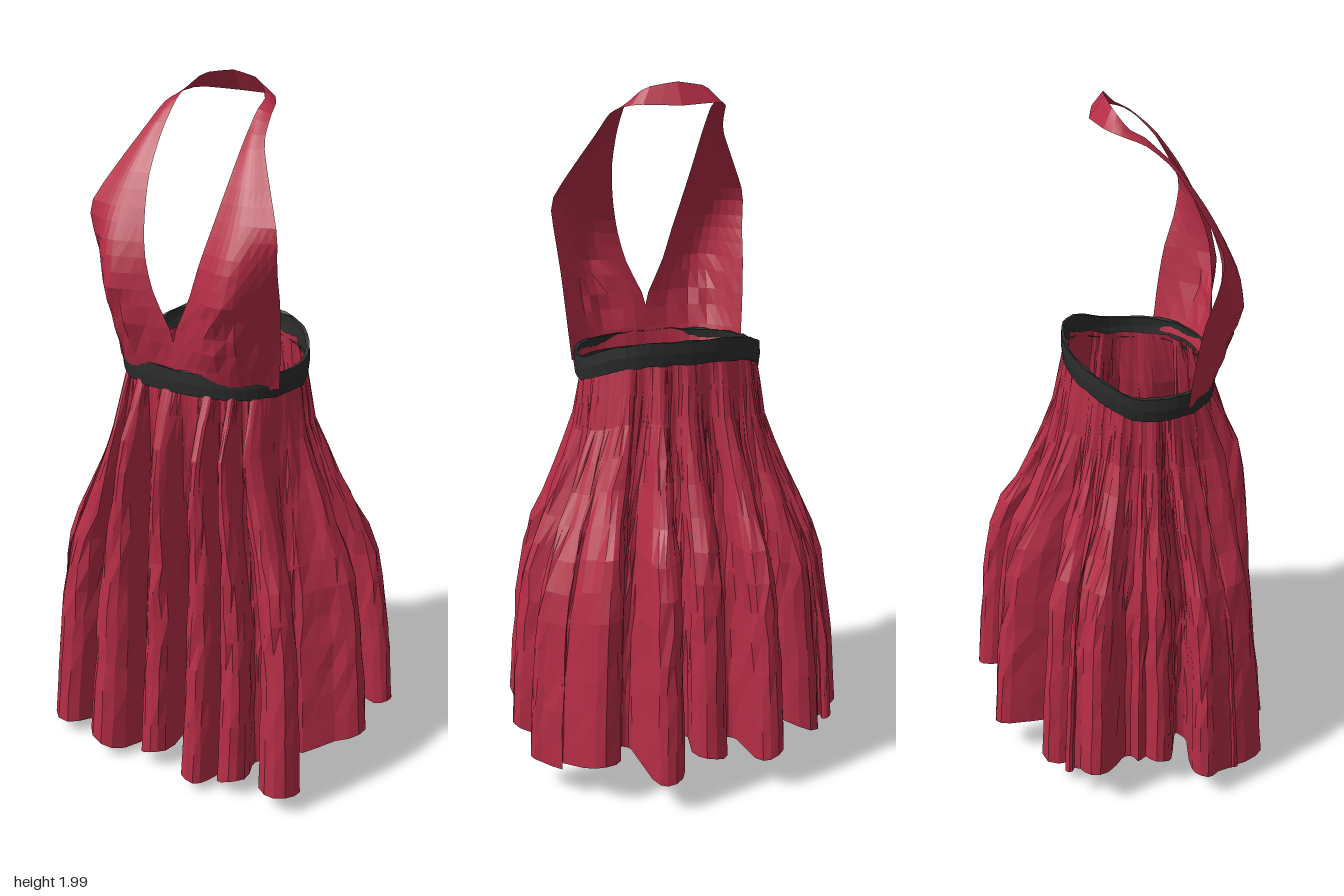
import * as THREE from 'three';

const red = new THREE.MeshStandardMaterial({ color: 0xb52d46, flatShading: true, side: THREE.DoubleSide });
red.name = 'crimson cloth';
const black = new THREE.MeshStandardMaterial({ color: 0x2b2c2c, flatShading: true, side: THREE.DoubleSide });
black.name = 'black ribbon';

const { lerp, smoothstep } = THREE.MathUtils;
const V = (x, y, z) => new THREE.Vector3(x, y, z);

// repeatable crumple between -1 and 1
function crumple(i, j) {
  const s = Math.sin(i * 127.1 + j * 311.7) * 43758.5453;
  return (s - Math.floor(s)) * 2 - 1;
}

// sheet of (rows + 1) x (cols + 1) points, closed sheets join the last column to the first
function sheet(name, material, rows, cols, closed, pointAt) {
  const positions = [], indices = [];
  const stride = closed ? cols : cols + 1;
  for (let i = 0; i <= rows; i++)
    for (let j = 0; j < stride; j++) positions.push(...pointAt(i / rows, j / cols, i, j).toArray());
  for (let i = 0; i < rows; i++)
    for (let j = 0; j < cols; j++) {
      const a = i * stride + j, c = i * stride + (j + 1) % stride;
      indices.push(a, a + stride, c, c, a + stride, c + stride);
    }
  const geometry = new THREE.BufferGeometry();
  geometry.setAttribute('position', new THREE.Float32BufferAttribute(positions, 3));
  geometry.setIndex(indices);
  geometry.computeVertexNormals();
  const mesh = new THREE.Mesh(geometry, material);
  mesh.name = name;
  return mesh;
}

// waist outline and the height of the band's lower edge, which rises at the back
const soft = (s) => Math.sign(s) * Math.abs(s) ** 0.9;
const waistPoint = (a, scale = 1) =>
  V(0.26 * scale * soft(Math.sin(a)), 0, 0.058 + 0.205 * scale * soft(Math.cos(a)));
const waistHeight = (z) => 1.175 + 0.07 * (1 - smoothstep(z, -0.17, 0.04));

// hem folds [x, z, half width], alternately outward and inward, from the front round by +x
const FOLDS = [
  [-0.03, 0.395, 0.043], [0.03, 0.19, 0.04], [0.14, 0.428, 0.043], [0.19, 0.24, 0.02],
  [0.24, 0.393, 0.045], [0.26, 0.23, 0.02], [0.42, 0.385, 0.06], [0.33, 0.17, 0.03],
  [0.5, 0.035, 0.06], [0.335, -0.13, 0.04], [0.49, -0.165, 0.035], [0.425, -0.235, 0.015],
  [0.29, -0.335, 0.06], [0.22, -0.21, 0.02], [0.14, -0.435, 0.048], [0.06, -0.23, 0.025],
  [0.005, -0.388, 0.053], [-0.09, -0.23, 0.03], [-0.18, -0.408, 0.045], [-0.23, -0.21, 0.02],
  [-0.36, -0.277, 0.06], [-0.425, -0.225, 0.015], [-0.48, -0.14, 0.05], [-0.385, -0.03, 0.03],
  [-0.435, 0.06, 0.04], [-0.28, 0.15, 0.02], [-0.5, 0.18, 0.04], [-0.45, 0.275, 0.015],
  [-0.35, 0.385, 0.065], [-0.26, 0.24, 0.02], [-0.19, 0.428, 0.065], [-0.07, 0.19, 0.04],
];

// each fold gives a rounded tip of four hem points and four matching waist points
function skirtCurves() {
  const n = FOLDS.length, angles = [];
  for (let k = 0; k < n; k += 2) {
    let a = Math.atan2(FOLDS[k][0], FOLDS[k][1] - 0.06);
    while (k && a < angles[k - 2]) a += Math.PI * 2;
    angles[k] = a;
  }
  const angle = (k) => {
    if (k < 0) return angle(k + n) - Math.PI * 2;
    if (k >= n) return angle(k - n) + Math.PI * 2;
    return k % 2 ? (angle(k - 1) + angle(k + 1)) / 2 : angles[k];
  };
  const at = (k) => V(FOLDS[(k + n) % n][0], 0, FOLDS[(k + n) % n][1]);
  const hem = [], waist = [];
  for (let k = 0; k < n; k++) {
    const tip = at(k), w = FOLDS[k][2], a = angle(k);
    const out = tip.clone().sub(at(k - 1).add(at(k + 1)).multiplyScalar(0.5)).normalize();
    const side = k % 2 ? V(-out.z, 0, out.x) : V(out.z, 0, -out.x);
    for (const [across, back] of [[-1, 1], [-0.45, 0.1], [0.45, 0.1], [1, 1]]) {
      hem.push(tip.clone().addScaledVector(out, -w * back).addScaledVector(side, w * across));
      const beside = angle(k + Math.sign(across));
      const r = Math.abs(across) === 1 ? 0.99 : k % 2 ? 0.97 : 1.01;
      waist.push(waistPoint(lerp(a, beside, Math.abs(across) * 0.36), r));
    }
  }
  return [hem, waist].map((p) => new THREE.CatmullRomCurve3(p, true, 'catmullrom', 0.5));
}

// how far the cloth has flared, from waist to hem: sideways, to the front and to the back
const FLARE_SIDE = [0, 0.11, 0.42, 0.74, 0.87, 0.95, 1];
const FLARE_FRONT = [0, 0.5, 0.6, 0.66, 0.75, 0.88, 1];
const FLARE_BACK = [0, 0.13, 0.39, 0.78, 0.88, 0.95, 1];
function flare(table, v) {
  const i = Math.min(5, Math.floor(v * 6));
  return lerp(table[i], table[i + 1], v * 6 - i);
}

function skirt() {
  const [hem, waist] = skirtCurves();
  return sheet('pleatedSkirt', red, 13, 224, true, (v, u, i, j) => {
    const h = hem.getPoint(u), w = waist.getPoint(u);
    const forward = smoothstep(h.z, 0.18, 0.34) * (1 - 0.6 * smoothstep(Math.abs(h.x), 0.25, 0.45));
    const low = 0.12 + 0.018 * Math.sin(h.x * 23 + 1) + 0.03 * smoothstep(h.z, 0.28, 0.42)
      - 0.09 * smoothstep(h.z, 0.05, 0.2) * (1 - 0.5 * smoothstep(Math.abs(h.x), 0.3, 0.48));
    const k = 0.006 * Math.sin(v * Math.PI);
    return V(
      lerp(w.x, h.x, flare(FLARE_SIDE, v)) + crumple(i, j) * k,
      lerp(waistHeight(w.z) + 0.02, low, v),
      lerp(w.z, h.z, lerp(flare(FLARE_BACK, v), flare(FLARE_FRONT, v), forward)) + crumple(j, i + 7) * k,
    );
  });
}

// bodice rows: inner x, z, middle x, z, outer x, z, inner y, outer y
const BODICE = [
  [0, 0.262, 0.16, 0.235, 0.262, 0.15, 1.2, 1.2],
  [0, 0.27, 0.17, 0.278, 0.272, 0.165, 1.33, 1.33],
  [0.055, 0.278, 0.18, 0.31, 0.28, 0.185, 1.45, 1.45],
  [0.085, 0.272, 0.195, 0.298, 0.287, 0.215, 1.55, 1.55],
  [0.107, 0.238, 0.195, 0.255, 0.292, 0.228, 1.65, 1.65],
  [0.122, 0.19, 0.18, 0.2, 0.243, 0.18, 1.75, 1.75],
  [0.127, 0.12, 0.155, 0.128, 0.188, 0.118, 1.85, 1.85],
  [0.127, 0.053, 0.147, 0.056, 0.168, 0.05, 1.92, 1.91],
  [0.125, 0.01, 0.14, 0.006, 0.152, 0, 1.945, 1.93],
  [0.085, -0.024, 0.1, -0.036, 0.115, -0.048, 1.985, 1.943],
  [0, -0.035, 0, -0.055, 0, -0.075, 2, 1.94],
];

// half of the halter top with its neck strap, on the +x or -x side
function halterHalf(name, sign) {
  const edges = [
    BODICE.map((r) => V(r[0], r[6], r[1])),
    BODICE.map((r) => V(r[2], (r[6] + r[7]) / 2, r[3])),
    BODICE.map((r) => V(r[4], r[7], r[5])),
  ].map((p) => new THREE.CatmullRomCurve3(p, false, 'catmullrom', 0.4));
  return sheet(name, red, 24, 10, false, (v, u, i, j) => {
    const across = sign > 0 ? 1 - u : u;
    const p = new THREE.CatmullRomCurve3(edges.map((e) => e.getPoint(v))).getPoint(across);
    // gathers above the band
    const gather = (1 - smoothstep(v, 0.1, 0.38)) * smoothstep(v, 0.03, 0.08) * Math.sin(across * Math.PI);
    p.z += gather * 0.008 * crumple(i + 3, j);
    p.x *= sign;
    return p;
  });
}

// ribbon round the waist, with its inner side folded over the top
function waistBand() {
  return sheet('waistBand', black, 4, 48, true, (v, u, i, j) => {
    const ring = [[1.0, 0.068], [1.04, 0.068], [1.05, 0.033], [1.035, 0], [0.99, 0.004]][i];
    const p = waistPoint(u * Math.PI * 2, ring[0]);
    p.y = waistHeight(p.z) + ring[1] + 0.003 * crumple(i, j);
    return p;
  });
}

export function createModel() {
  const dress = new THREE.Group();
  dress.name = 'halterDress';
  dress.add(skirt(), waistBand(), halterHalf('leftHalter', 1), halterHalf('rightHalter', -1));
  return dress;
}
